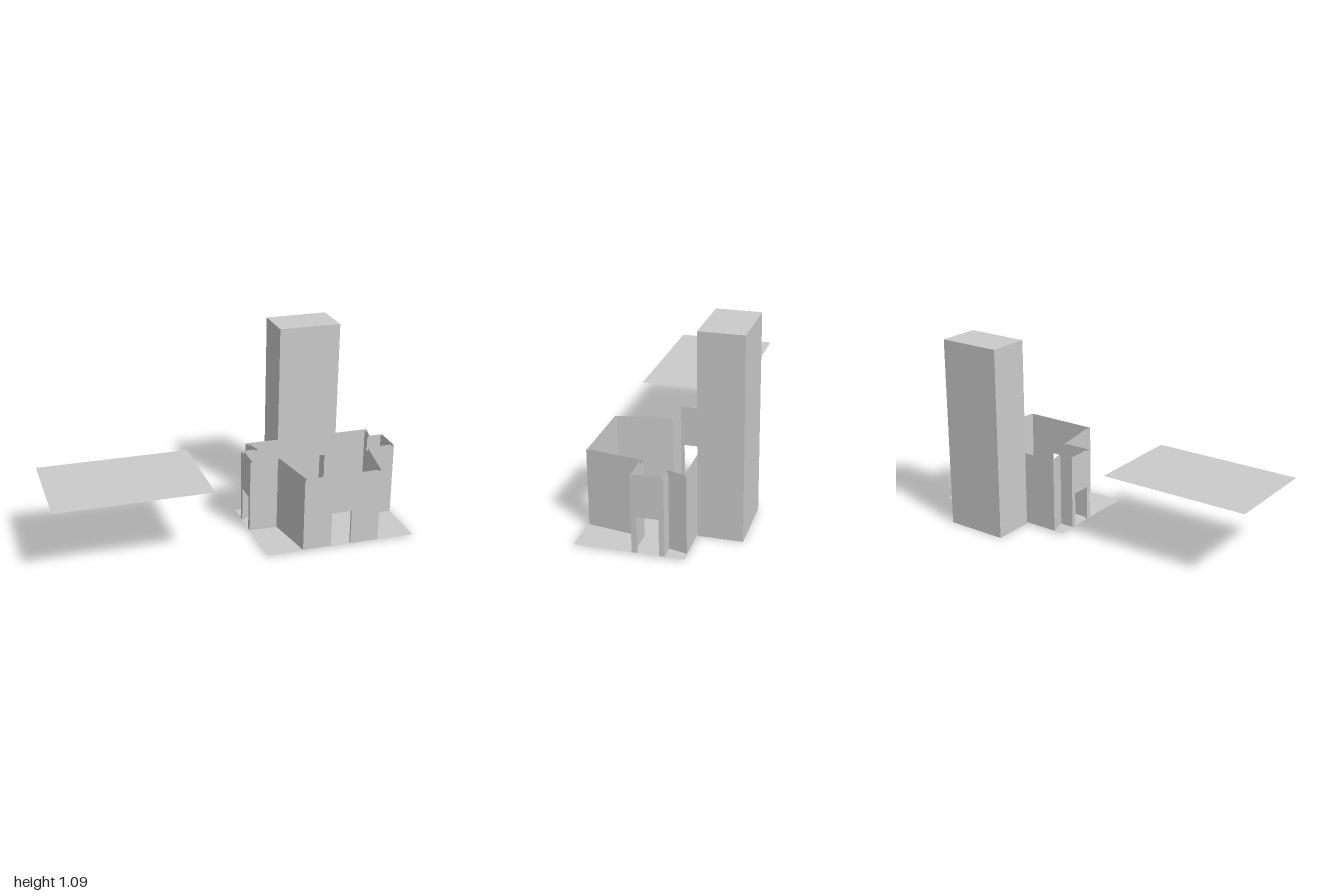
import * as THREE from 'three';

const material = new THREE.MeshStandardMaterial({ color: 0xcccccc, side: THREE.DoubleSide, flatShading: true });
const CX = 0.57, BASE = 0.008, TOP = 0.427, THICK = 0.013;

function add(parent, name, geometry, x = 0, y = 0, z = 0) {
  const mesh = new THREE.Mesh(geometry, material);
  mesh.name = name;
  mesh.position.set(x, y, z);
  parent.add(mesh);
  return mesh;
}

// Upright sheet from x0 to x1, optionally with an opening rising from its foot
function panel(x0, x1, y0, y1, door) {
  const s = new THREE.Shape();
  s.moveTo(x0, y0);
  if (door) {
    s.lineTo(door.x0, y0);
    s.lineTo(door.x0, door.top);
    s.lineTo(door.x1, door.top);
    s.lineTo(door.x1, y0);
  }
  s.lineTo(x1, y0);
  s.lineTo(x1, y1);
  s.lineTo(x0, y1);
  return new THREE.ShapeGeometry(s);
}

function sheet(parent, name, x0, x1, y, z0, z1) {
  const g = new THREE.PlaneGeometry(x1 - x0, z1 - z0).rotateX(-Math.PI / 2);
  return add(parent, name, g, (x0 + x1) / 2, y, (z0 + z1) / 2);
}

// Hollow wall: outer and inner skins, mitred at the ends, with door reveals
function wall(name, a, b, turnA, turnB, doorSize) {
  const group = new THREE.Group();
  group.name = name;
  const dx = b[0] - a[0], dz = b[1] - a[1], half = Math.hypot(dx, dz) / 2;
  group.position.set((a[0] + b[0]) / 2, 0, (a[1] + b[1]) / 2);
  group.rotation.y = Math.atan2(-dz, dx);
  const door = doorSize && { x0: -doorSize[0] / 2, x1: doorSize[0] / 2, top: doorSize[1] };
  add(group, 'outerSkin', panel(-half, half, BASE, TOP, door));
  const i0 = -half + THICK * Math.tan(turnA / 2), i1 = half - THICK * Math.tan(turnB / 2);
  add(group, 'innerSkin', panel(i0, i1, BASE, TOP, door).rotateY(0), 0, 0, -THICK);
  if (door) {
    for (const x of [door.x0, door.x1]) {
      const jamb = new THREE.PlaneGeometry(THICK, door.top - BASE).rotateY(Math.PI / 2);
      add(group, 'doorJamb', jamb, x, (door.top + BASE) / 2, -THICK / 2);
    }
    sheet(group, 'doorHead', door.x0, door.x1, door.top, -THICK, 0);
  }
  return group;
}

export function createModel() {
  const model = new THREE.Group();
  model.name = 'house';

  // Ground sheet, and the roof sheet set aside at wall height
  sheet(model, 'groundSheet', 0.14, 1, BASE, -0.172, 0.4);
  sheet(model, 'roofSheet', -1, -0.148, TOP, -0.172, 0.4);

  // Wall plan: half outline, front to back, mirrored about the house centre
  const half = [[0.22, 0.395], [0.27, 0.098], [0.43, 0.098], [0.43, -0.07], [0.35, -0.07], [0.375, -0.167]];
  const plan = [
    ...half.map(([x, z]) => [CX + x, z]),
    ...half.slice().reverse().map(([x, z]) => [CX - x, z]),
  ];
  const n = plan.length;
  const heading = (i) => {
    const a = plan[(i + n) % n], b = plan[(i + 1) % n];
    return Math.atan2(a[1] - b[1], b[0] - a[0]);
  };
  const turn = (i) => {
    const d = heading(i) - heading(i - 1);
    return Math.atan2(Math.sin(d), Math.cos(d));
  };
  const doors = { 2: [0.112, 0.206], 5: [0.22, 0.3], 8: [0.112, 0.206], 11: [0.114, 0.206] };
  const names = ['leftFrontWall', 'leftWingFront', 'leftWingSide', 'leftWingBack', 'leftBackWall', 'backWall',
    'rightBackWall', 'rightWingBack', 'rightWingSide', 'rightWingFront', 'rightFrontWall', 'frontWall'];
  plan.forEach((a, i) => {
    model.add(wall(names[i], a, plan[(i + 1) % n], turn(i), turn((i + 1) % n), doors[i]));
  });

  // Tall hollow chimney, open to the room through the hearth
  const chimney = new THREE.Group();
  chimney.name = 'chimney';
  model.add(chimney);
  const x0 = 0.393, x1 = 0.75, zf = -0.168, zb = -0.403, h = 1.09;
  add(chimney, 'chimneyFront', panel(x0, x1, 0, h, { x0: 0.46, x1: 0.68, top: 0.3 }), 0, 0, zf);
  add(chimney, 'chimneyBack', panel(-x1, -x0, 0, h).rotateY(Math.PI), 0, 0, zb);
  for (const [x, side] of [[x0, -1], [x1, 1]]) {
    const g = new THREE.PlaneGeometry(zf - zb, h).rotateY(side * Math.PI / 2);
    add(chimney, 'chimneySide', g, x, h / 2, (zf + zb) / 2);
  }
  sheet(chimney, 'chimneyTop', x0, x1, h, zb, zf);
  sheet(chimney, 'chimneyFloor', x0, x1, 0, zb, zf);

  // Small block beside the hearth
  add(model, 'hearthBlock', new THREE.BoxGeometry(0.04, 0.1, 0.025), 0.727, BASE + 0.05, -0.142);
  return model;
}
